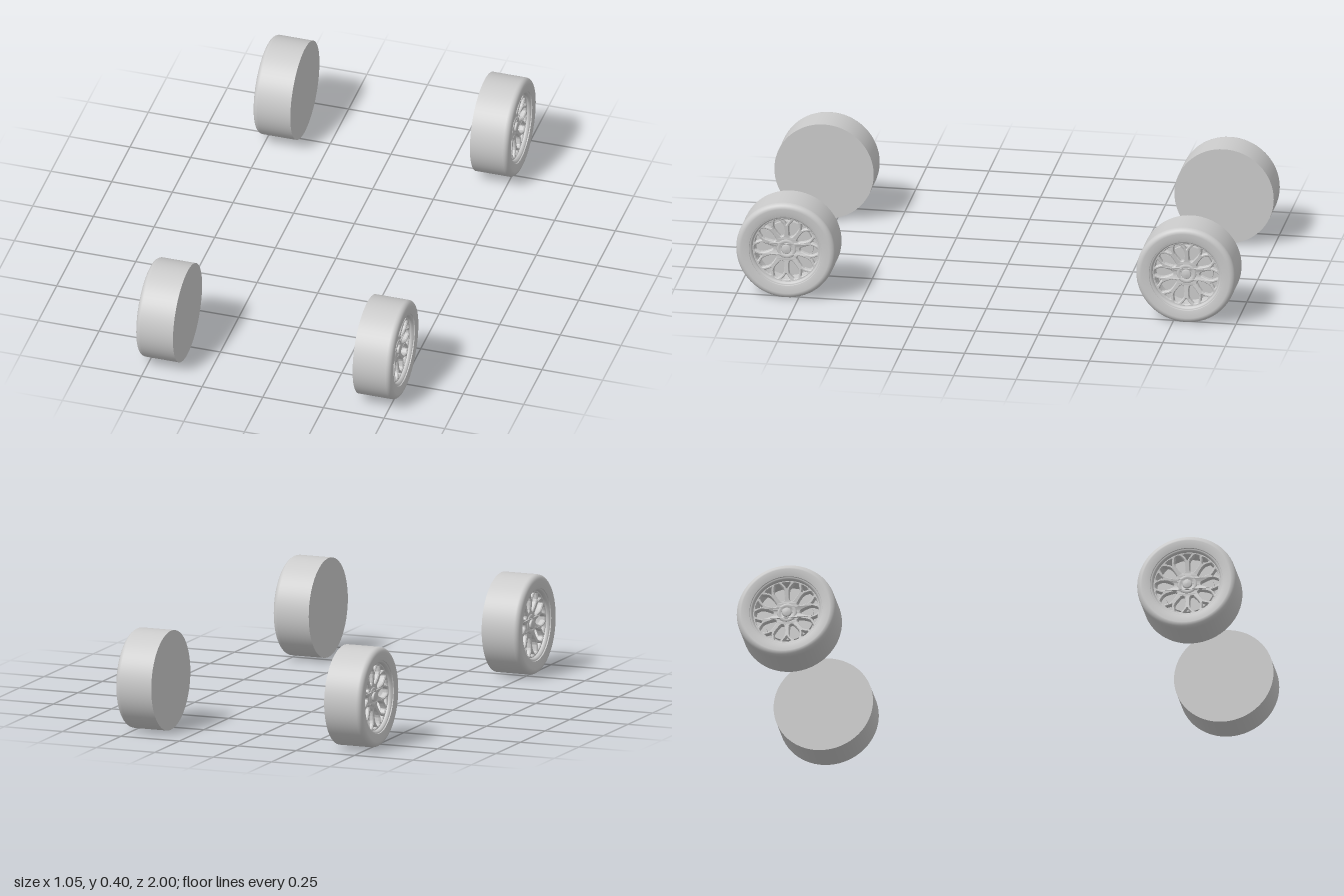
import * as THREE from 'three';

const R = 0.199, INNER = 0.37, SPOKES = 10;
const grey = new THREE.MeshStandardMaterial({ color: 0xcccccc });
const V = (r, x) => new THREE.Vector2(r, x);

// Surface of revolution about the axle: points are (radius, distance outward)
function turned(name, points, segments = 64) {
  const geo = new THREE.LatheGeometry(points, segments);
  geo.rotateZ(-Math.PI / 2);
  const mesh = new THREE.Mesh(geo, grey);
  mesh.name = name;
  return mesh;
}

// Closed smooth window mirrored about a radial line; rows are (radius, half width)
function radialWindow(rows, angle) {
  const pts = [...rows.map(([r, w]) => V(r, w)), ...rows.map(([r, w]) => V(r, -w)).reverse()];
  pts.forEach(p => p.rotateAround(new THREE.Vector2(), angle));
  const path = new THREE.Path();
  path.setFromPoints(pts);
  return path;
}

// Forked spokes: a disc pierced by petals between spokes and wedges in the forks
function spokeGeometry() {
  const disc = new THREE.Shape().absarc(0, 0, 0.136, 0, Math.PI * 2);
  const petal = [[0.052, 0.004], [0.056, 0.009], [0.075, 0.017], [0.092, 0.022], [0.104, 0.022], [0.118, 0.016], [0.127, 0.011], [0.129, 0.006]];
  const wedge = [[0.102, 0.002], [0.112, 0.008], [0.123, 0.017], [0.126, 0.017], [0.129, 0.008]];
  for (let i = 0; i < SPOKES; i++) {
    const a = Math.PI / 2 + i * Math.PI * 2 / SPOKES;
    disc.holes.push(radialWindow(wedge, a), radialWindow(petal, a + Math.PI / SPOKES));
  }
  const geo = new THREE.ExtrudeGeometry(disc, {
    depth: 0.016, curveSegments: 48, bevelEnabled: true, bevelThickness: 0.004, bevelSize: 0.003, bevelOffset: -0.001, bevelSegments: 1,
  });
  // Dish the face gently toward the hub
  const p = geo.attributes.position;
  for (let i = 0; i < p.count; i++) {
    const r = Math.hypot(p.getX(i), p.getY(i));
    p.setZ(i, p.getZ(i) - 0.014 * (1 - r / 0.136));
  }
  geo.computeVertexNormals();
  geo.rotateY(Math.PI / 2);
  geo.translate(0.115, 0, 0);
  return geo;
}

function createWheel(spokes) {
  const wheel = new THREE.Group();

  // Tyre: closed back, tread, rounded shoulder and sidewall
  wheel.add(turned('tyreBack', [V(0, 0), V(R, 0)]));
  wheel.add(turned('tyreTread', [V(R, 0), V(R, 0.137)]));
  const shoulder = [];
  for (let i = 0; i <= 8; i++) {
    const a = i / 8 * Math.PI / 2;
    shoulder.push(V(R - 0.022 + 0.022 * Math.cos(a), 0.137 + 0.02 * Math.sin(a)));
  }
  wheel.add(turned('tyreSidewall', [...shoulder, V(0.16, 0.156), V(0.146, 0.153)]));

  // Rim lip, recessed barrel and the brake disc behind the spokes
  wheel.add(turned('rimLip', [V(0.146, 0.153), V(0.146, 0.148), V(0.143, 0.149), V(0.138, 0.147), V(0.135, 0.141)]));
  wheel.add(turned('rimBarrel', [V(0.135, 0.141), V(0.131, 0.118), V(0.131, 0.07)]));
  wheel.add(turned('rimBack', [V(0.131, 0.07), V(0, 0.07)]));
  wheel.add(turned('brakeDiscEdge', [V(0.1, 0.07), V(0.1, 0.085)]));
  wheel.add(turned('brakeDiscFace', [V(0.1, 0.085), V(0, 0.085)]));

  const spokeMesh = new THREE.Mesh(spokes, grey);
  spokeMesh.name = 'spokes';
  wheel.add(spokeMesh);

  // Hub ring and centre cap
  wheel.add(turned('hub', [V(0.04, 0.085), V(0.04, 0.126), V(0.036, 0.13), V(0.027, 0.13), V(0.024, 0.126), V(0, 0.126)], 40));
  wheel.add(turned('hubCap', [V(0.019, 0.12), V(0.019, 0.134), V(0.016, 0.137), V(0, 0.138)], 32));

  return wheel;
}

export function createModel() {
  const model = new THREE.Group();
  model.name = 'wheelSet';
  const spokes = spokeGeometry();
  for (const [end, z] of [['front', 1 - R], ['rear', R - 1]]) {
    for (const [side, s] of [['Left', 1], ['Right', -1]]) {
      const wheel = createWheel(spokes);
      wheel.name = `${end}${side}Wheel`;
      wheel.position.set(s * INNER, R, z);
      if (s < 0) wheel.rotation.y = Math.PI;
      model.add(wheel);
    }
  }
  return model;
}
